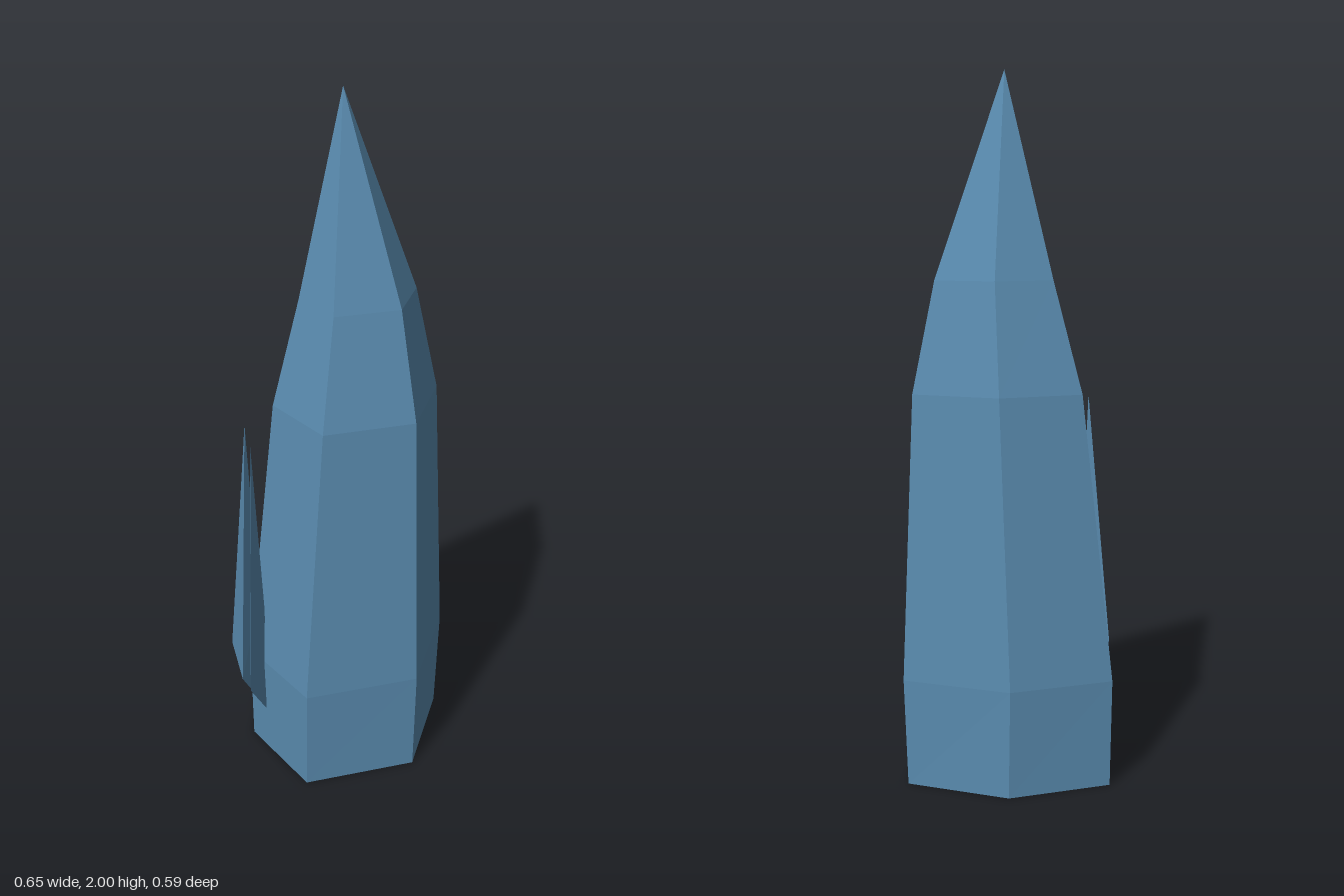
import * as THREE from 'three';
import { ConvexGeometry } from 'three/addons/geometries/ConvexGeometry.js';

// Irregular hexagonal sections [x, z], going round from the back left corner
const SECTIONS = [
  { y: 0, ring: [[-0.25, -0.255], [0.05, -0.29], [0.312, -0.136], [0.23, 0.192], [-0.09, 0.291], [-0.264, 0.045]] },
  { y: 0.31, ring: [[-0.253, -0.26], [0.048, -0.298], [0.323, -0.14], [0.236, 0.194], [-0.087, 0.296], [-0.268, 0.044]] },
  { y: 1.12, ring: [[-0.171, -0.214], [0.068, -0.244], [0.287, -0.119], [0.217, 0.146], [-0.038, 0.229], [-0.184, 0.026]] },
  { y: 1.43, ring: [[-0.1, -0.16], [0.068, -0.183], [0.22, -0.095], [0.173, 0.09], [-0.01, 0.15], [-0.108, 0.009]] },
];
const TIP = [0.013, 2, -0.036];

// Open-bottomed faceted shell through the sections, closed at the tip
function crystalGeometry() {
  const positions = [];
  const corner = (s, i) => {
    const [x, z] = SECTIONS[s].ring[i % 6];
    return [x, SECTIONS[s].y, z];
  };
  const top = SECTIONS.length - 1;
  for (let i = 0; i < 6; i++) {
    for (let s = 0; s < top; s++) {
      const a = corner(s, i), b = corner(s, i + 1);
      const c = corner(s + 1, i), d = corner(s + 1, i + 1);
      positions.push(...b, ...a, ...c, ...b, ...c, ...d);
    }
    positions.push(...corner(top, i + 1), ...corner(top, i), ...TIP);
  }
  const geometry = new THREE.BufferGeometry();
  geometry.setAttribute('position', new THREE.Float32BufferAttribute(positions, 3));
  geometry.computeVertexNormals();
  return geometry;
}

// Sharp splinter: convex hull of its tip, outer corners and embedded foot
function shardGeometry(points) {
  return new ConvexGeometry(points.map((p) => new THREE.Vector3(...p)));
}

export function createModel() {
  const group = new THREE.Group();
  group.name = 'crystal';

  const crystalBlue = new THREE.MeshStandardMaterial({
    color: 0x5a8cb0, flatShading: true, side: THREE.DoubleSide,
  });
  crystalBlue.name = 'crystalBlue';

  const add = (name, geometry) => {
    const mesh = new THREE.Mesh(geometry, crystalBlue);
    mesh.name = name;
    group.add(mesh);
  };

  add('mainCrystal', crystalGeometry());

  // Two splinters growing out of the left-hand front face
  add('outerShard', shardGeometry([
    [-0.262, 1.08, 0.073], [-0.324, 0.33, 0.035], [-0.284, 0.28, 0.159],
    [-0.235, 0.5, 0.061], [-0.235, 0.14, 0.077],
  ]));
  add('innerShard', shardGeometry([
    [-0.245, 1.03, 0.107], [-0.265, 0.3, 0.095], [-0.257, 0.26, 0.192],
    [-0.24, 0.45, 0.081], [-0.218, 0.48, 0.088], [-0.218, 0.14, 0.113],
  ]));

  return group;
}
